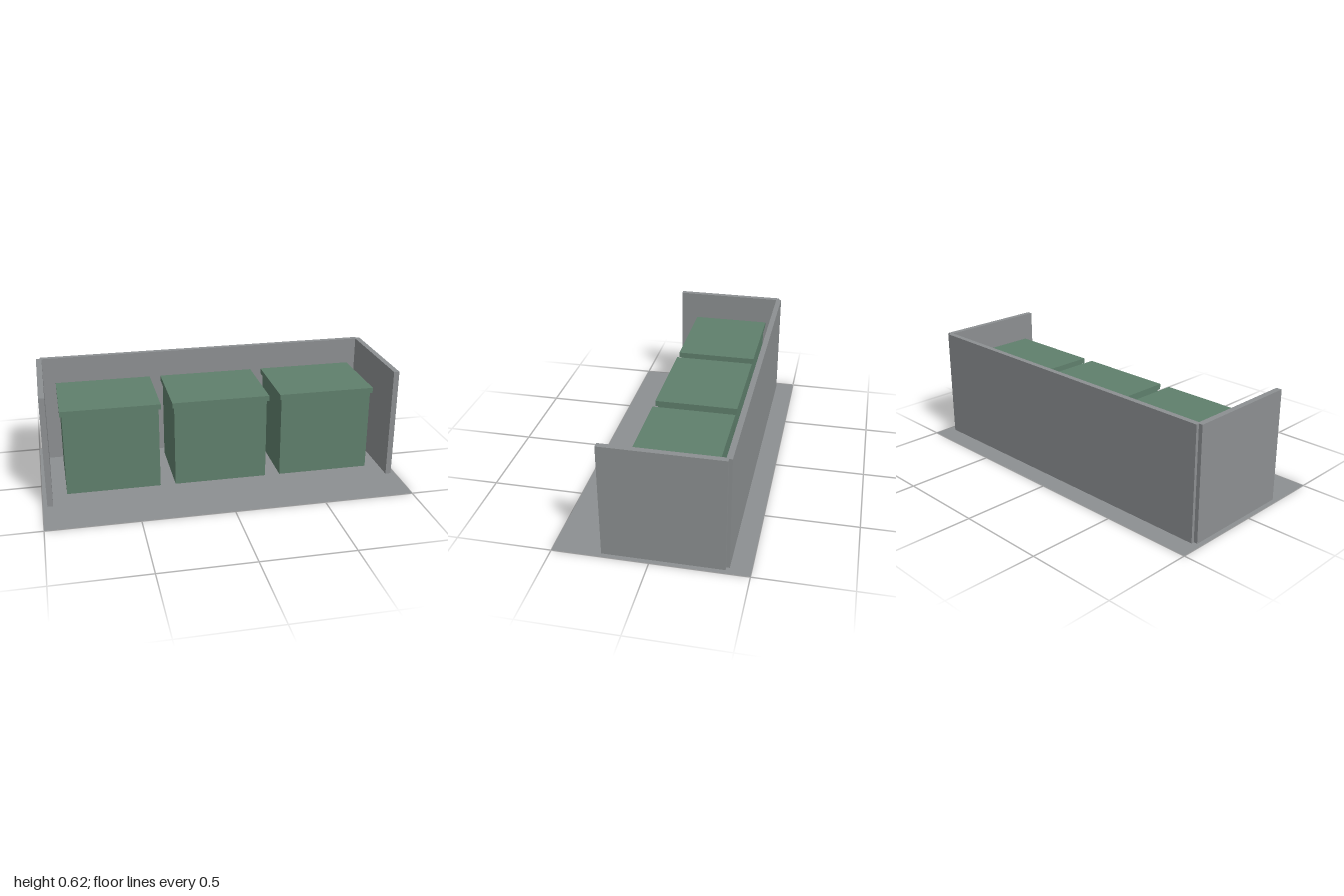
import * as THREE from 'three';

const concrete = new THREE.MeshStandardMaterial({ color: 0x8c8f91, side: THREE.DoubleSide });
concrete.name = 'concrete grey';
const green = new THREE.MeshStandardMaterial({ color: 0x5f7f6c });
green.name = 'bin green';

function add(parent, name, geometry, material, x, y, z) {
  const mesh = new THREE.Mesh(geometry, material);
  mesh.name = name;
  mesh.position.set(x, y, z);
  parent.add(mesh);
  return mesh;
}

export function createModel() {
  const model = new THREE.Group();
  model.name = 'binEnclosure';

  // Paved ground, a hair above the bin bases so those show from below
  const ground = new THREE.PlaneGeometry(2, 1).rotateX(-Math.PI / 2);
  add(model, 'ground', ground, concrete, 0, 0.001, 0);

  // U-shaped wall, drawn in plan with stepped back corners
  const half = [[0.955, -0.393], [0.955, -0.376], [0.976, -0.376], [0.976, 0.248],
    [0.945, 0.248], [0.945, -0.363]];
  const plan = [...half, ...half.map(([x, z]) => [-x, z]).reverse()];
  const shape = new THREE.Shape(plan.map(([x, z]) => new THREE.Vector2(x, -z)));
  const wall = new THREE.ExtrudeGeometry(shape, { depth: 0.623, bevelEnabled: false });
  wall.rotateX(-Math.PI / 2);
  add(model, 'wall', wall, concrete, 0, 0.002, 0);

  // Three bins with overhanging lids
  for (const x of [-0.605, 0, 0.605]) {
    const bin = new THREE.Group();
    bin.name = 'bin';
    bin.position.set(x, 0, -0.087);
    add(bin, 'binBody', new THREE.BoxGeometry(0.52, 0.465, 0.42), green, 0, 0.2325, 0);
    add(bin, 'binLid', new THREE.BoxGeometry(0.542, 0.03, 0.442), green, 0, 0.48, 0);
    model.add(bin);
  }
  return model;
}
